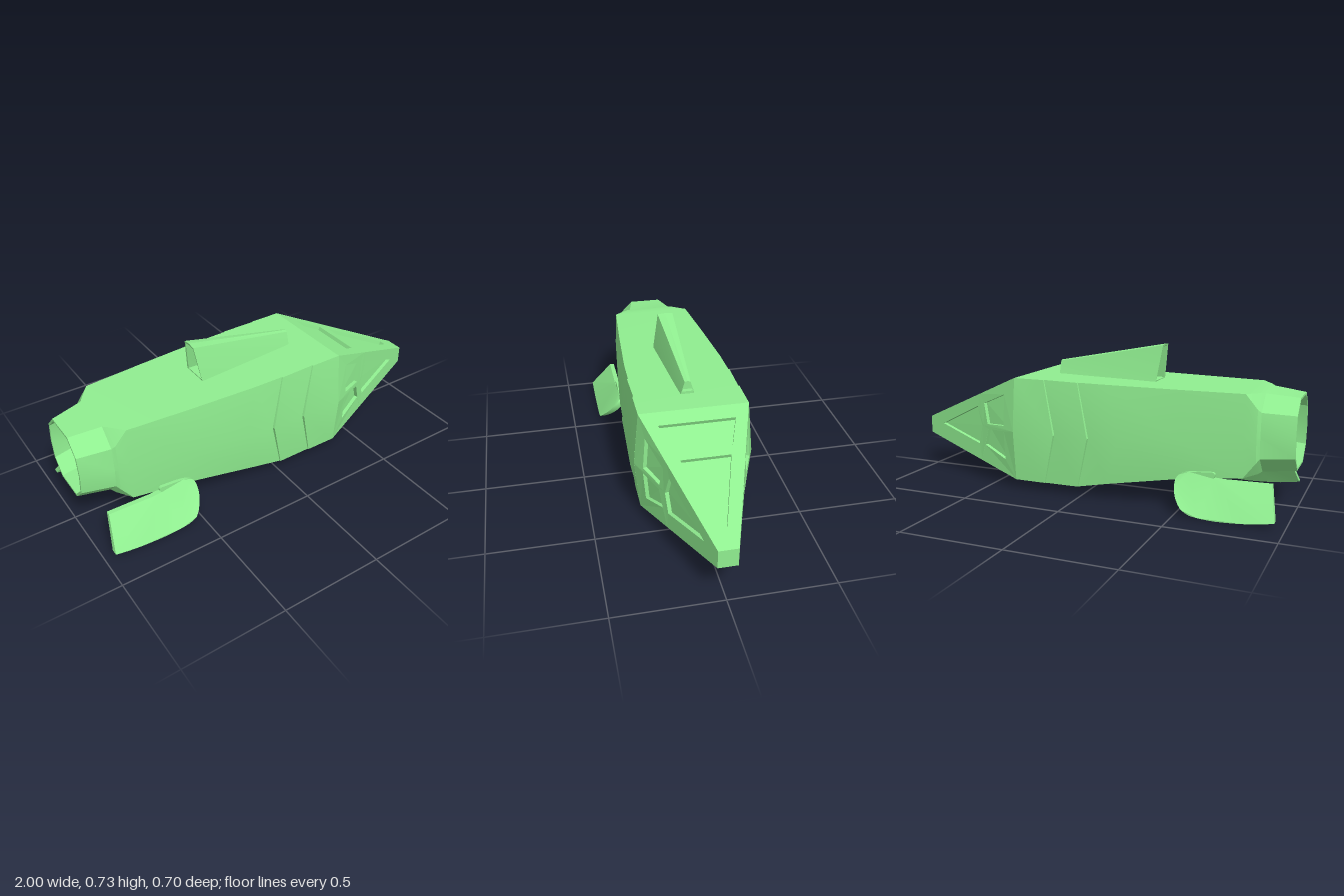
import * as THREE from 'three';
import { toCreasedNormals, mergeGeometries } from 'three/addons/utils/BufferGeometryUtils.js';

const V = (x, y, z) => new THREE.Vector3(x, y, z);
const paint = new THREE.MeshStandardMaterial({ color: 0x90ee90, side: THREE.DoubleSide });

function addMesh(group, name, geometry) {
  const mesh = new THREE.Mesh(geometry, paint);
  mesh.name = name;
  group.add(mesh);
}

function fromTriangles(points, crease) {
  const g = new THREE.BufferGeometry().setFromPoints(points);
  g.computeVertexNormals();
  return crease ? toCreasedNormals(g, crease) : g;
}

// Mirror in z, restoring the winding order
function mirrorZ(geometry) {
  const g = geometry.index ? geometry.toNonIndexed() : geometry.clone();
  const p = g.attributes.position, pts = [];
  for (let i = 0; i < p.count; i += 3)
    for (const k of [0, 2, 1]) pts.push(V(p.getX(i + k), p.getY(i + k), -p.getZ(i + k)));
  return fromTriangles(pts);
}

// Skin rings running along x; each ring is given by its +z half, top to bottom
function loft(halves, crease, capStart, capEnd) {
  const rings = halves.map(h => [...h, ...[...h].reverse().map(p => V(p.x, p.y, -p.z))]);
  const out = [], n = rings[0].length;
  const tri = (a, b, c) => {
    if (new THREE.Triangle(a, b, c).getArea() > 1e-8) out.push(a, b, c);
  };
  for (let s = 0; s + 1 < rings.length; s++)
    for (let i = 0; i < n; i++) {
      const j = (i + 1) % n, A = rings[s], B = rings[s + 1];
      tri(A[i], A[j], B[j]);
      tri(A[i], B[j], B[i]);
    }
  const cap = (ring, flip) => {
    const mid = ring.reduce((a, p) => a.add(p), V(0, 0, 0)).divideScalar(n);
    ring.forEach((p, i) => flip ? tri(mid, ring[(i + 1) % n], p) : tri(mid, p, ring[(i + 1) % n]));
  };
  if (capStart) cap(rings[0], true);
  if (capEnd) cap(rings[rings.length - 1], false);
  return fromTriangles(out, crease);
}

// Flat outline with recessed windows; place(u, v, depth) puts it in space
function panel(outline, windows, place) {
  const to2 = list => list.map(([u, v]) => new THREE.Vector2(u, v));
  const out = [];
  const fill = (shape, depth) => {
    const g = new THREE.ShapeGeometry(shape).toNonIndexed(), p = g.attributes.position;
    for (let i = 0; i < p.count; i++) out.push(place(p.getX(i), p.getY(i), depth));
  };
  const face = new THREE.Shape(to2(outline));
  for (const w of windows) {
    const pts = to2(w);
    if (THREE.ShapeUtils.isClockWise(pts)) pts.reverse();
    face.holes.push(new THREE.Path(pts));
    fill(new THREE.Shape(pts), 0.018);
    pts.forEach((p, i) => {
      const q = pts[(i + 1) % pts.length];
      const [a, b, c, d] = [place(p.x, p.y, 0), place(q.x, q.y, 0), place(q.x, q.y, 0.018), place(p.x, p.y, 0.018)];
      out.push(a, b, c, a, c, d);
    });
  }
  fill(face, 0);
  return fromTriangles(out);
}

function addHull(group) {
  // x, top, bottom, corner half width, side half width, x of side crease, its height, chamfer
  const stations = [
    [-0.86, 0.53, 0.21, 0.17, 0.18, -0.86, 0.36, 0.07],
    [-1, 0.525, 0.21, 0.142, 0.155, -1, 0.365, 0.065],
    [-1, 0.535, 0.2, 0.152, 0.166, -1, 0.365, 0.07],
    [-0.85, 0.55, 0.188, 0.188, 0.197, -0.85, 0.36, 0.075],
    [-0.835, 0.554, 0.18, 0.198, 0.207, -0.835, 0.36, 0.065],
    [-0.78, 0.557, 0.172, 0.204, 0.213, -0.78, 0.35, 0],
    [-0.48, 0.559, 0.14, 0.228, 0.243, -0.5, 0.32, 0],
    [-0.14, 0.562, 0.082, 0.25, 0.272, -0.2, 0.305, 0],
    [0.01, 0.563, 0.052, 0.253, 0.27, -0.05, 0.3, 0],
    [0.012, 0.563, 0.052, 0.258, 0.284, -0.048, 0.3, 0],
    [0.188, 0.565, 0.05, 0.255, 0.272, 0.128, 0.3, 0],
    [0.19, 0.565, 0.05, 0.26, 0.285, 0.13, 0.3, 0],
    [0.35, 0.565, 0.05, 0.26, 0.285, 0.35, 0.3, 0],
  ];
  const halves = stations.map(([x, t, b, zc, zm, xm, ym, c]) => [
    V(x, t, zc - c), V(x, t - c, zc), V(xm, ym, zm), V(x, b + c, zc), V(x, b, zc - c)]);
  addMesh(group, 'hullAndNozzle', loft(halves, 0.35, true, false));
}

function addNose(group) {
  const top = x => 0.565 - 0.4385 * (x - 0.35);
  const bottom = x => 0.05 + 0.2154 * (x - 0.35);
  const width = x => 0.26 - 0.3308 * (x - 0.35);
  // Side surface: a flat taper plus a bulge that fades towards the tip
  const side = (x, y, d) => {
    const mid = 0.297, reach = y > mid ? top(x) - mid : mid - bottom(x);
    const bulge = 0.025 * Math.max(0, (0.6 - x) / 0.25) * Math.max(0, 1 - Math.abs(y - mid) / Math.max(reach, 0.01));
    return V(x - d * 0.3, y, width(x) + bulge - d);
  };
  const mid = [0.578, 0.293], up = [0.6, top(0.6)], low = [0.6, bottom(0.6)];
  const sideNose = mergeGeometries([
    panel([[0.35, 0.3], mid, up, [0.35, 0.565]],
      [[[0.42, 0.475], [0.57, 0.41], [0.545, 0.305], [0.42, 0.317]]], side),
    panel([[0.35, 0.05], low, mid, [0.35, 0.3]],
      [[[0.42, 0.29], [0.54, 0.28], [0.568, 0.192], [0.42, 0.143]]], side),
    panel([mid, low, [1, 0.19], [1, 0.28], up],
      [[[0.62, 0.388], [0.9, 0.254], [0.612, 0.19], [0.587, 0.288]]], side),
  ]);
  addMesh(group, 'leftNoseWindows', sideNose);
  addMesh(group, 'rightNoseWindows', mirrorZ(sideNose));

  // Roof, floor and blunt tip
  const taper = [[0.35, -0.26], [1, -0.045], [1, 0.045], [0.35, 0.26]];
  addMesh(group, 'noseRoof', panel(taper, [
    [[0.418, -0.18], [0.548, -0.133], [0.548, 0.133], [0.418, 0.18]],
    [[0.594, -0.115], [0.905, -0.018], [0.905, 0.018], [0.594, 0.115]],
  ], (u, v, d) => V(u - d * 0.4, top(u) - d, -v)));
  addMesh(group, 'noseFloor', panel(taper, [], (u, v) => V(u, bottom(u), v)));
  addMesh(group, 'noseTip', panel([[-0.045, 0.19], [0.045, 0.19], [0.045, 0.28], [-0.045, 0.28]], [],
    (u, v) => V(1, v, -u)));
}

// Tapered top fin, hollow at the rear with a small recess in front
function addTopFin(group) {
  // x at top, x at base, top height, base height, top half width, base half width
  const rings = [
    [-0.2, -0.2, 0.69, 0.57, 0.026, 0.05],
    [-0.338, -0.315, 0.728, 0.565, 0.033, 0.06],
    [-0.34, -0.315, 0.738, 0.55, 0.039, 0.071],
    [0.212, 0.212, 0.632, 0.55, 0.014, 0.037],
    [0.212, 0.212, 0.624, 0.578, 0.009, 0.027],
    [0.19, 0.19, 0.624, 0.578, 0.009, 0.027],
  ];
  addMesh(group, 'topFin', loft(rings.map(([xt, xb, yt, yb, zt, zb]) =>
    [V(xt, yt, 0), V(xt, yt - 0.004, zt), V(xb, yb, zb)]), 0.35, true, true));
}

// Hooked lower fins, splayed outwards and thinning to the lower edge
function addLowerFins(group) {
  const s = new THREE.Shape();
  s.moveTo(-0.92, 0.168);
  s.lineTo(-0.955, 0.032);
  s.quadraticCurveTo(-0.86, 0.008, -0.7, 0.004);
  s.quadraticCurveTo(-0.64, 0.004, -0.58, 0.014);
  s.bezierCurveTo(-0.53, 0.03, -0.475, 0.09, -0.48, 0.145);
  s.quadraticCurveTo(-0.485, 0.175, -0.54, 0.185);
  s.lineTo(-0.65, 0.193);
  s.quadraticCurveTo(-0.67, 0.185, -0.655, 0.165);
  s.lineTo(-0.7, 0.163);
  const g = new THREE.ExtrudeGeometry(s, { depth: 1, bevelEnabled: false, curveSegments: 7 });
  const p = g.attributes.position;
  for (let i = 0; i < p.count; i++) {
    const y = p.getY(i);
    const outer = Math.min(0.35, 0.238 + Math.max(0, 0.165 - y) * 0.88);
    const thick = 0.016 + 0.03 * Math.sin(Math.PI * Math.min(1, y / 0.18));
    p.setZ(i, outer - (1 - p.getZ(i)) * thick);
  }
  const flat = g.toNonIndexed();
  flat.computeVertexNormals();
  addMesh(group, 'leftLowerFin', toCreasedNormals(flat, 0.5));
  addMesh(group, 'rightLowerFin', toCreasedNormals(mirrorZ(flat), 0.5));
}

export function createModel() {
  const group = new THREE.Group();
  group.name = 'shuttle';
  addHull(group);
  addNose(group);
  addTopFin(group);
  addLowerFins(group);
  return group;
}
